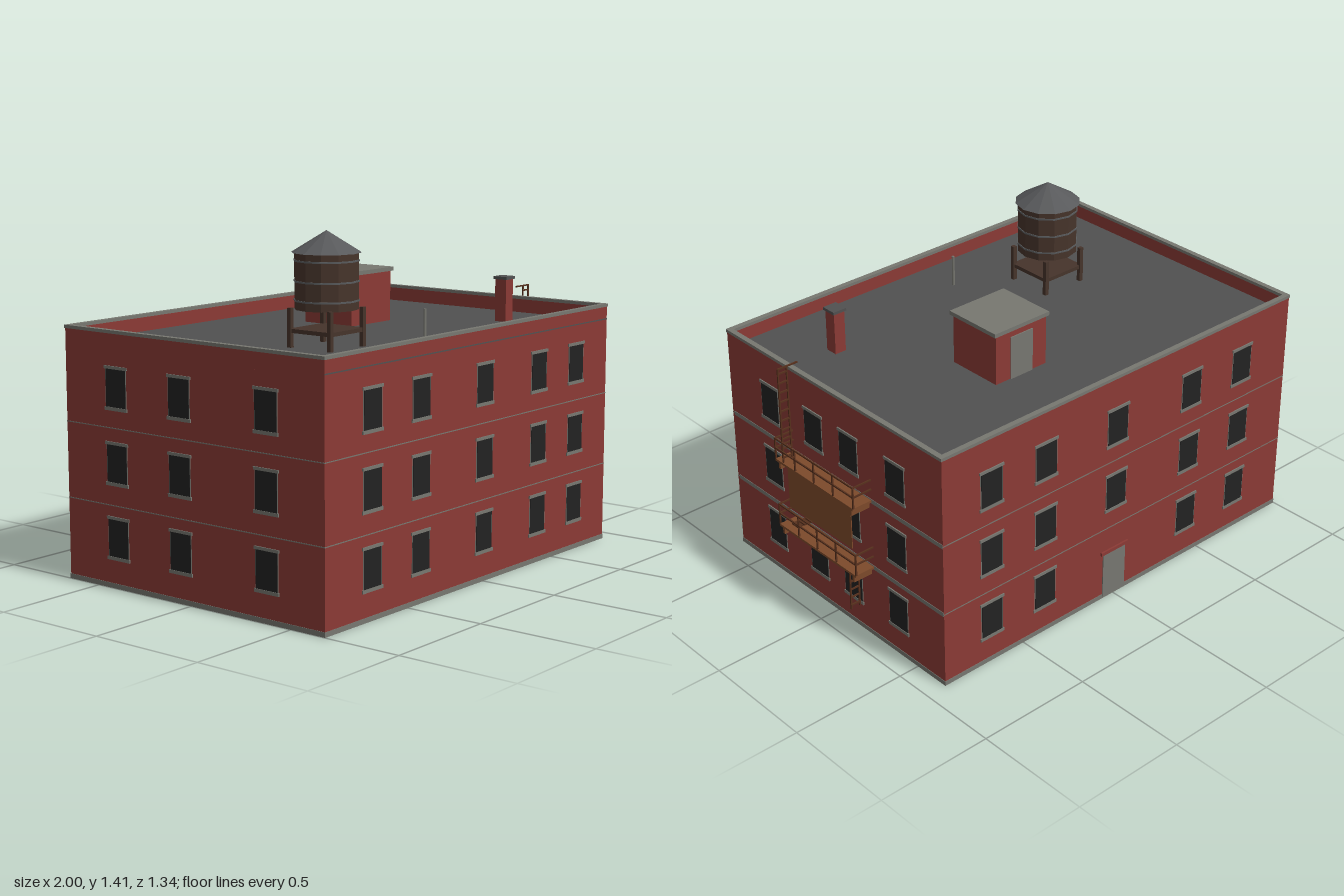
import * as THREE from 'three';

const mat = (name, color) => Object.assign(new THREE.MeshStandardMaterial({ color }), { name });

export function createModel() {
  const brick = mat('brick red', 0x8b3a35);
  const trim = mat('stone grey', 0x777770);
  const tar = mat('roof grey', 0x515151);
  const glass = mat('dark glass', 0x222222);
  const rust = mat('rusty deck', 0x7d4a2b);
  const iron = mat('brown iron', 0x56301d);
  const wood = mat('tank wood', 0x46342b);
  const steel = mat('hoop steel', 0x5a5c5e);
  const cone = mat('tank roof grey', 0x58595b);
  cone.flatShading = wood.flatShading = true;

  const model = new THREE.Group();
  model.name = 'building';
  const group = (name) => {
    const g = new THREE.Group();
    g.name = name;
    model.add(g);
    return g;
  };
  const add = (parent, name, geo, m, x, y, z) => {
    const mesh = new THREE.Mesh(geo, m);
    mesh.name = name;
    mesh.position.set(x, y, z);
    parent.add(mesh);
    return mesh;
  };
  // Box given by its limits on each axis
  const box = (parent, name, m, x0, x1, y0, y1, z0, z1) =>
    add(parent, name, new THREE.BoxGeometry(x1 - x0, y1 - y0, z1 - z0), m,
      (x0 + x1) / 2, (y0 + y1) / 2, (z0 + z1) / 2);

  const X0 = -0.997, X1 = 0.907, Z = 0.662, ROOF = 0.96, TOP = 1.018, T = 0.018;

  // Body, plinth and roof
  const body = group('body');
  box(body, 'walls', brick, X0, X1, 0.02, ROOF - 0.01, -Z, Z);
  box(body, 'plinth', trim, X0 - 0.002, X1 + 0.002, 0, 0.02, -Z - 0.002, Z + 0.002);
  box(body, 'roof', tar, X0 + T, X1 - T, ROOF - 0.01, ROOF, -Z + T, Z - T);

  // Parapet and its coping: a rectangular ring extruded upwards
  const ring = (name, m, out, inn, y, h) => {
    const s = new THREE.Shape();
    const rect = (p, d) => {
      p.moveTo(X0 - d, -Z - d);
      p.lineTo(X1 + d, -Z - d);
      p.lineTo(X1 + d, Z + d);
      p.lineTo(X0 - d, Z + d);
      p.closePath();
      return p;
    };
    rect(s, out);
    s.holes.push(rect(new THREE.Path(), -inn));
    const g = new THREE.ExtrudeGeometry(s, { depth: h, bevelEnabled: false });
    g.rotateX(-Math.PI / 2);
    add(body, name, g, m, 0, y, 0);
  };
  ring('parapet', brick, 0, T, ROOF - 0.01, TOP - ROOF + 0.01);
  ring('coping', trim, 0.003, T + 0.002, TOP, 0.013);

  // Floor bands, wider on the fire escape side
  for (const y of [0.335, 0.645]) {
    ring('floorBand', trim, 0.0012, 0, y - 0.002, 0.004);
    box(body, 'sideBand', trim, X1, X1 + 0.002, y - 0.009, y + 0.009, -0.66, 0.65);
  }
  box(body, 'roofLine', tar, X0, X1, 0.963, 0.968, Z, Z + 0.001);

  // Windows; each wall is a turned group whose +z points outwards
  const windowAt = (wall, x, y) => {
    box(wall, 'windowFrame', trim, x - 0.056, x + 0.056, y + 0.01, y + 0.17, 0, 0.002);
    box(wall, 'windowPane', glass, x - 0.053, x + 0.053, y + 0.012, y + 0.168, 0, 0.003);
    box(wall, 'sill', trim, x - 0.061, x + 0.061, y, y + 0.014, 0, 0.005);
    box(wall, 'lintel', trim, x - 0.061, x + 0.061, y + 0.164, y + 0.176, 0, 0.005);
  };
  const wall = (name, angle, x, z, spots, skip) => {
    const g = group(name);
    g.rotation.y = angle;
    g.position.set(x, 0, z);
    for (const y of [0.115, 0.415, 0.715])
      for (const s of spots) if (!(skip && s === 0 && y < 0.2)) windowAt(g, s, y);
    return g;
  };
  const long = [-0.72, -0.42, 0, 0.385, 0.665];
  wall('frontWindows', 0, 0, Z, long);
  const back = wall('backWindows', Math.PI, 0, -Z, long.map((x) => (x ? -x : 0)), true);
  wall('leftSideWindows', Math.PI / 2, X1, 0, [-0.39, -0.11, 0.11, 0.39]);
  wall('rightSideWindows', -Math.PI / 2, X0, 0, [-0.385, -0.05, 0.385]);

  // Back door
  box(back, 'door', trim, -0.062, 0.062, 0.01, 0.215, 0, 0.004);
  box(back, 'doorLintel', brick, -0.075, 0.075, 0.215, 0.23, 0, 0.008);

  // Stair house on the roof
  const hut = group('stairHouse');
  box(hut, 'hutWalls', brick, 0.06, 0.325, ROOF, 1.175, -0.31, -0.06);
  box(hut, 'hutRoof', trim, 0.05, 0.335, 1.173, 1.19, -0.317, -0.05);
  box(hut, 'hutDoor', trim, 0.135, 0.25, ROOF, 1.145, -0.315, -0.31);

  // Chimney and vent pipe
  const chimney = group('chimney');
  box(chimney, 'stack', brick, 0.583, 0.635, ROOF, 1.142, 0.305, 0.36);
  box(chimney, 'chimneyCap', tar, 0.577, 0.641, 1.14, 1.152, 0.299, 0.366);
  add(model, 'ventPipe', new THREE.CylinderGeometry(0.006, 0.006, 0.135, 8), trim, -0.115, 1.0275, 0.45);

  // Water tank
  const tank = group('waterTank');
  tank.position.set(-0.445, 0, 0.22);
  add(tank, 'barrel', new THREE.CylinderGeometry(0.127, 0.127, 0.225, 12), wood, 0, 1.2225, 0);
  add(tank, 'tankRoof', new THREE.ConeGeometry(0.138, 0.085, 12), cone, 0, 1.3725, 0);
  for (const y of [1.145, 1.22, 1.3])
    add(tank, 'hoop', new THREE.CylinderGeometry(0.13, 0.13, 0.007, 12), steel, 0, y, 0);
  box(tank, 'platform', wood, -0.105, 0.105, 1.018, 1.034, -0.105, 0.105);
  for (const x of [-0.1, 0.1])
    for (const z of [-0.1, 0.1])
      box(tank, 'leg', wood, x - 0.009, x + 0.009, ROOF, 1.115, z - 0.009, z + 0.009);

  // Fire escape
  const escape = group('fireEscape');
  const r = 0.003, IN = 0.909, OUT = 0.997, END = 0.245;
  const barZ = (name, x, y, z0, z1) => box(escape, name, iron, x - r, x + r, y - r, y + r, z0, z1);
  const barX = (name, y, z, x0, x1) => box(escape, name, iron, x0, x1, y - r, y + r, z - r, z + r);
  const barY = (name, x, z, y0, y1) => box(escape, name, iron, x - r, x + r, y0, y1, z - r, z + r);
  for (const y of [0.34, 0.65]) {
    box(escape, 'deck', rust, IN, 1, y - 0.01, y, -END, END);
    for (const z of [-0.225, 0.225])
      box(escape, 'bracket', rust, IN, 0.996, y - 0.04, y - 0.01, z - 0.006, z + 0.006);
    for (const z of [-END, -0.12, 0, 0.12, END]) barY('railPost', OUT, z, y, y + 0.095);
    for (const h of [0.05, 0.093]) {
      barZ('handrail', OUT, y + h, -END, END);
      for (const z of [-END, END]) barX('endRail', y + h, z, IN, OUT);
    }
  }
  // Stair panel and treads between the decks
  box(escape, 'stairPanel', rust, 0.973, 0.977, 0.435, 0.645, -0.2, 0.2);
  for (let i = 0; i < 9; i++) {
    const y = 0.35 + i * 0.036, z = 0.18 - i * 0.047;
    box(escape, 'tread', iron, 0.925, 0.973, y - r, y + r, z - 0.02, z + 0.02);
  }
  // Ladders: one up to the roof, one hanging below
  const ladder = (z, y0, y1, n) => {
    for (const x of [0.952, 0.994]) barY('ladderRail', x, z, y0, y1);
    for (let i = 0; i < n; i++) barX('rung', y0 + ((i + 0.5) * (y1 - y0)) / n, z, 0.952, 0.994);
  };
  ladder(0.2, 0.65, 1.07, 10);
  barX('ladderHook', 1.07, 0.2, 0.9, 0.997);
  ladder(-0.2, 0.155, 0.34, 5);

  return model;
}
